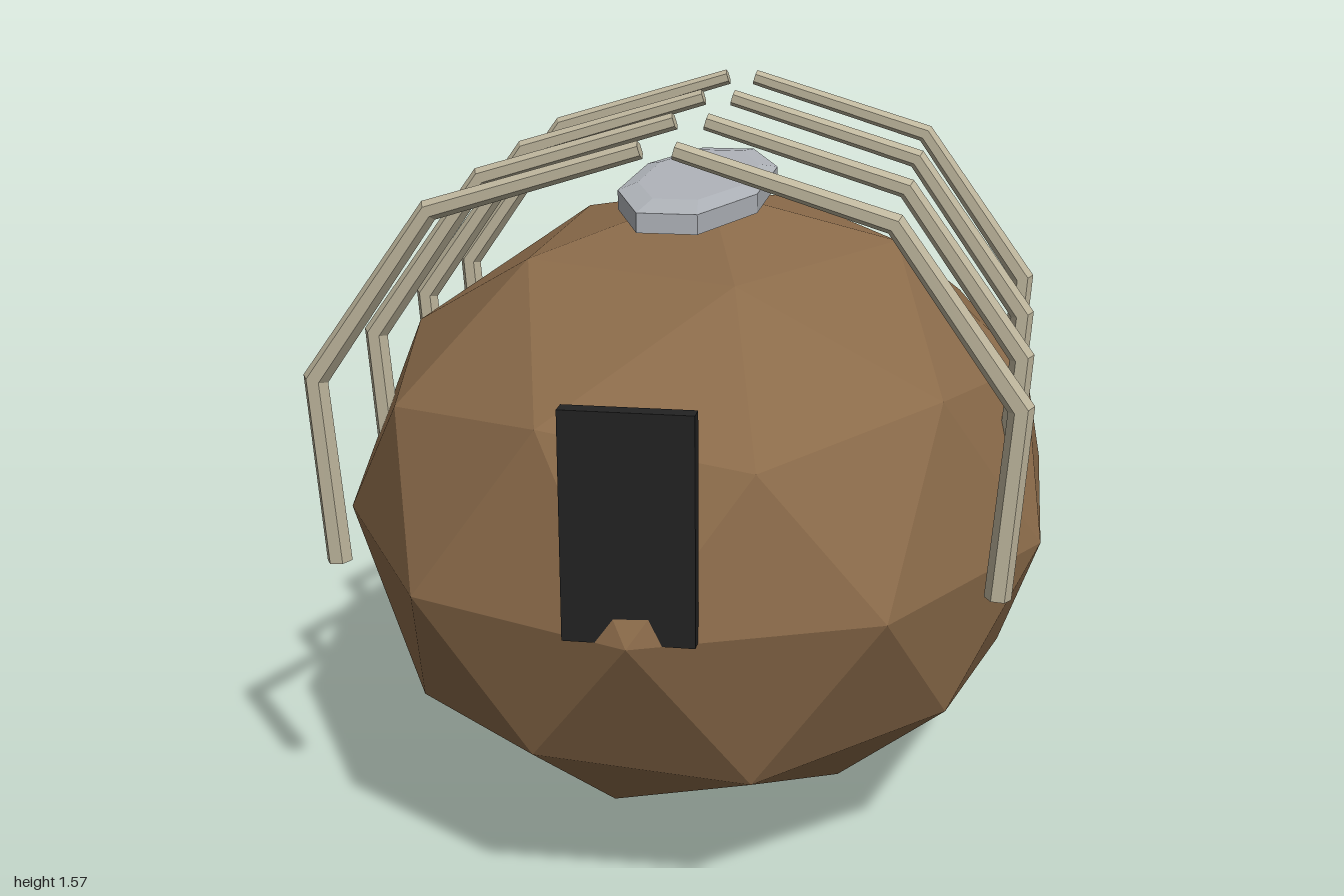
import * as THREE from 'three';

const flat = (color, name) => {
  const m = new THREE.MeshStandardMaterial({ color, flatShading: true });
  m.name = name;
  return m;
};

// Six-sided tapered bar swept along four points in the xy plane, with mitred joints
function ribGeometry(side) {
  const path = [[0.675, 0.68], [0.703, 1.07], [0.453, 1.42], [0.033, 1.548]]
    .map(([x, y]) => new THREE.Vector2(side * x, y));
  const radii = [0.027, 0.025, 0.021, 0.018];
  const geo = new THREE.CylinderGeometry(1, 1, 1, 6, 3, false, Math.PI / 6);
  const pos = geo.attributes.position;
  const last = path.length - 1;
  const direction = (i) => path[i + 1].clone().sub(path[i]).normalize();
  for (let v = 0; v < pos.count; v++) {
    const i = Math.round((pos.getY(v) + 0.5) * last);
    const before = direction(Math.max(i - 1, 0));
    const after = direction(Math.min(i, last - 1));
    const t = before.clone().add(after).normalize();
    const across = pos.getX(v) * radii[i] / t.dot(after);
    pos.setXYZ(v, path[i].x + t.y * across, path[i].y - t.x * across, pos.getZ(v) * radii[i]);
  }
  geo.computeVertexNormals();
  return geo;
}

export function createModel() {
  const group = new THREE.Group();
  const brown = flat(0x8b6b4a, 'brown');
  const bone = flat(0xbdb59c, 'bone');
  const grey = flat(0xb0b4ba, 'pale grey');
  const black = flat(0x222222, 'black');
  const add = (name, geo, mat, x = 0, y = 0, z = 0) => {
    const mesh = new THREE.Mesh(geo, mat);
    mesh.name = name;
    mesh.position.set(x, y, z);
    group.add(mesh);
  };

  // Faceted body, turned so that a corner points straight up
  const body = new THREE.IcosahedronGeometry(1, 1);
  body.rotateX(-Math.atan2((1 + Math.sqrt(5)) / 2, 1));
  body.rotateY(Math.PI / 2);
  body.scale(0.8, 0.68, 1);
  body.computeVertexNormals();
  add('body', body, brown, 0, 0.68, 0);

  // Bevelled eight-sided plate on the back
  const r = 1 / Math.cos(Math.PI / 8);
  const profile = [[0, -0.031], [0.76, -0.031], [1, -0.02], [1, 0.02], [0.76, 0.031], [0, 0.031]]
    .map(([x, y]) => new THREE.Vector2(x * r, y));
  const plate = new THREE.LatheGeometry(profile, 8, Math.PI / 8);
  plate.scale(0.147, 1, 0.415);
  add('topPlate', plate, grey, 0, 1.388, 0.125);

  // Front door panel
  add('doorPanel', new THREE.BoxGeometry(0.254, 0.45, 0.036), black, 0, 0.905, 0.956);

  // Four pairs of arching ribs
  for (const side of [1, -1]) {
    const geo = ribGeometry(side);
    for (let i = 0; i < 4; i++) {
      add(side > 0 ? 'leftRib' : 'rightRib', geo, bone, 0, 0, 0.637 - i * 0.384);
    }
  }
  return group;
}
